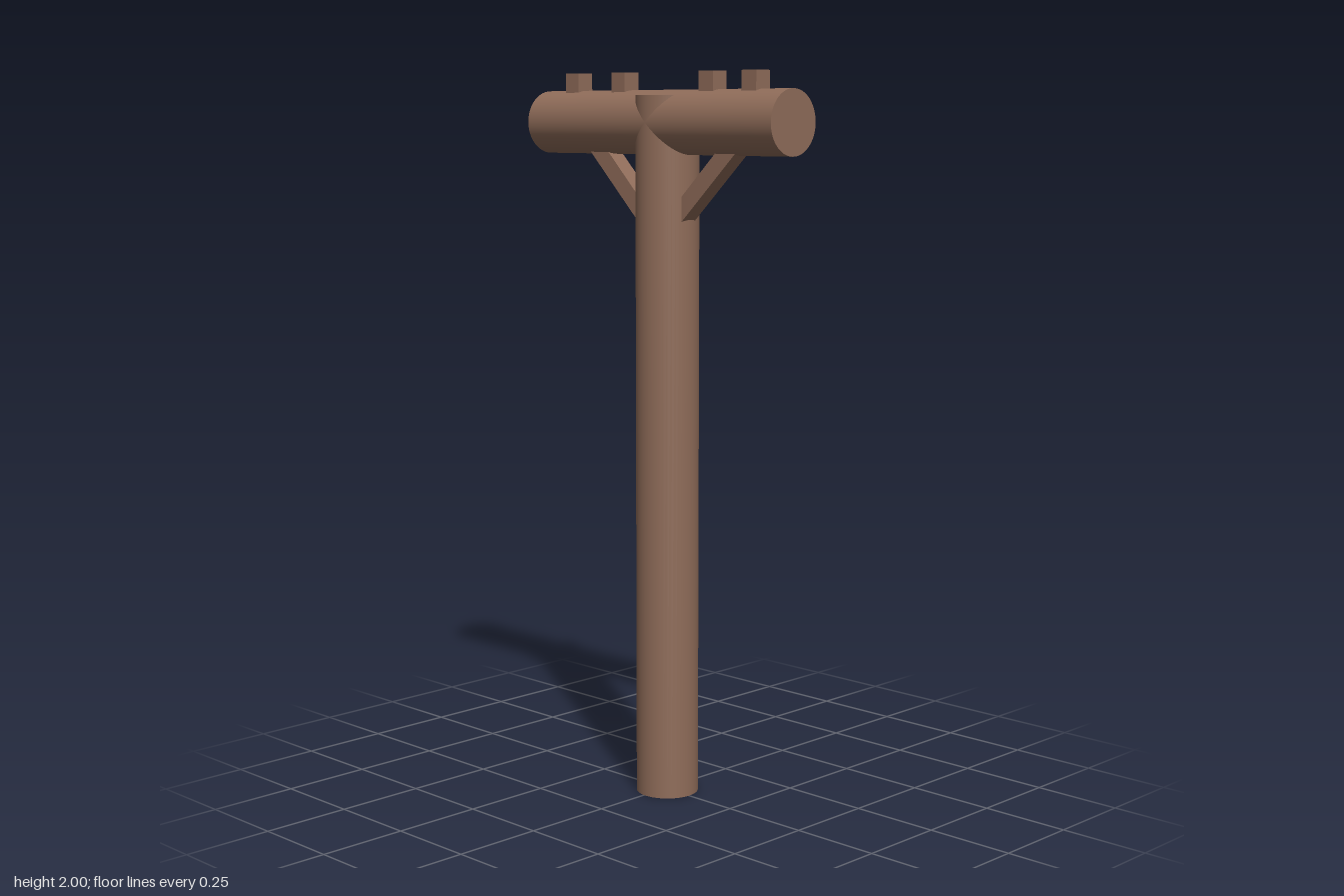
import * as THREE from 'three';

export function createModel() {
  const model = new THREE.Group();
  const wood = new THREE.MeshStandardMaterial({ color: 0x8f6c59 });
  wood.name = 'brown wood';

  function add(name, geometry, x, y, z) {
    const mesh = new THREE.Mesh(geometry, wood);
    mesh.name = name;
    mesh.position.set(x, y, z);
    model.add(mesh);
    return mesh;
  }

  // Upright round pole
  const poleX = 0.007, radius = 0.0865, poleTop = 1.938;
  add('pole', new THREE.CylinderGeometry(radius, radius, poleTop, 48), poleX, poleTop / 2, -0.001);

  // Round crossarm through the top of the pole
  const arm = new THREE.CylinderGeometry(radius, radius, 0.917, 48).rotateZ(Math.PI / 2);
  add('crossarm', arm, -0.001, 1.866, -0.001);

  // Insulator blocks, sunk slightly into the arm
  for (const x of [-0.337, -0.153, 0.178, 0.33]) {
    add('insulatorBlock', new THREE.BoxGeometry(0.052, 0.06, 0.052), x, 1.97, 0.003);
  }

  // Diagonal braces, cut upright at the pole and level inside the arm
  function brace(name, points) {
    const shape = new THREE.Shape(points.map(([x, y]) => new THREE.Vector2(x, y)));
    const geometry = new THREE.ExtrudeGeometry(shape, { depth: 0.05, bevelEnabled: false });
    add(name, geometry, 0, 0, -0.022);
  }
  brace('rightBrace', [[-0.074, 1.595], [-0.074, 1.665], [-0.208, 1.8], [-0.279, 1.8]]);
  brace('leftBrace', [[0.086, 1.6], [0.298, 1.8], [0.226, 1.8], [0.086, 1.667]]);

  return model;
}
